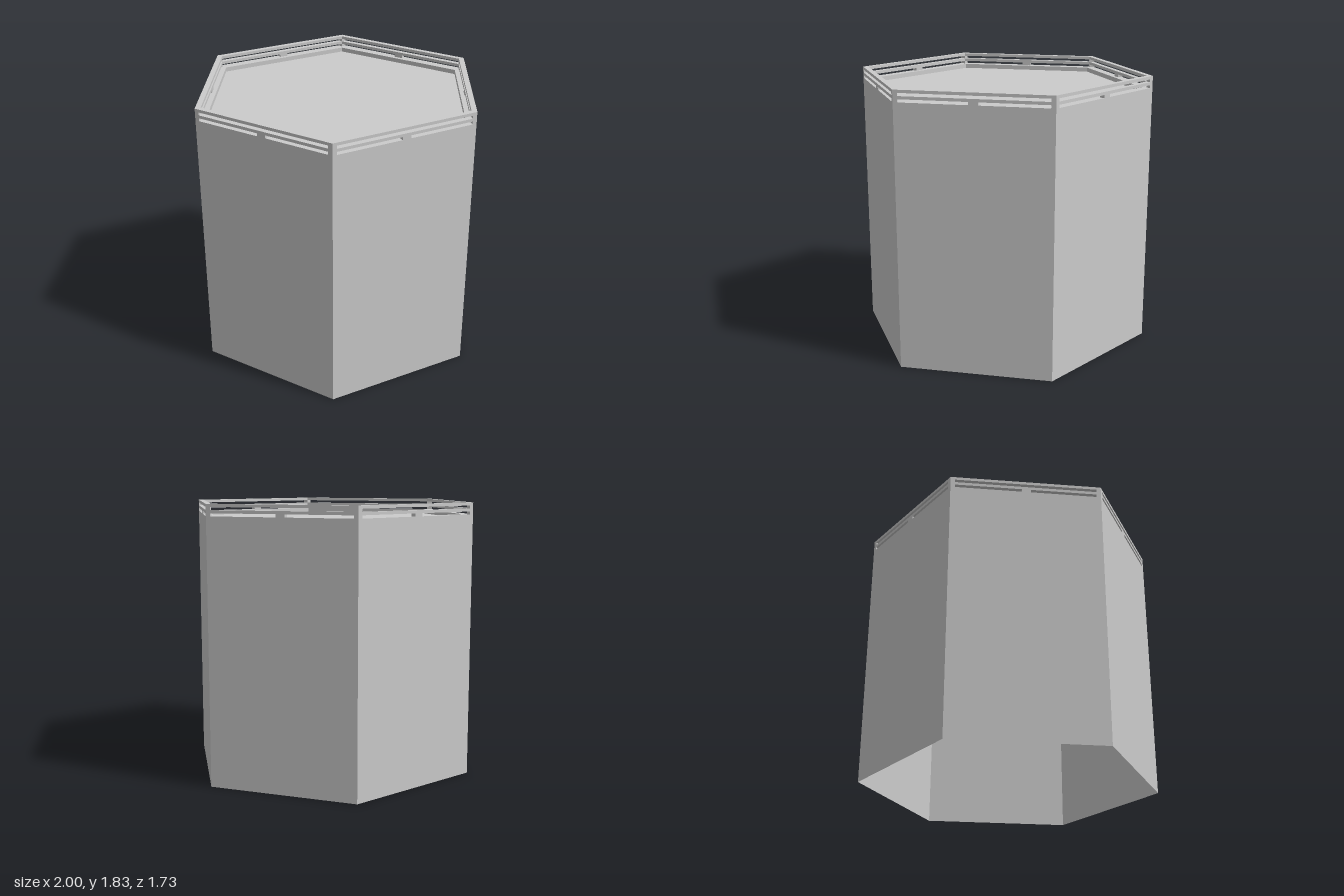
import * as THREE from 'three';

const SIDES = 6;
const WALL_TOP = 1.75;   // top of the hexagonal body
const STEP = 0.0193;     // thickness of each rail and each gap
const RAIL_IN = 0.96;    // inner corner radius of the rails
const DECK_R = 0.93;     // corner radius of the sunken deck
const RECESS = 0.03;

// Corner points of a hexagon with corners on the x axis
const corner = (i, r) => new THREE.Vector2(
  r * Math.cos(i * Math.PI / 3), r * Math.sin(i * Math.PI / 3));
const hexagon = (r) => Array.from({ length: SIDES }, (_, i) => corner(i, r));

function ringShape(outer, inner) {
  const shape = new THREE.Shape(hexagon(outer));
  shape.holes.push(new THREE.Path(hexagon(inner).reverse()));
  return shape;
}

export function createModel() {
  const model = new THREE.Group();
  const solid = new THREE.MeshStandardMaterial({ color: 0xcccccc, flatShading: true });
  const sheet = solid.clone();
  sheet.side = THREE.DoubleSide;

  const add = (parent, name, geometry, material) => {
    const mesh = new THREE.Mesh(geometry, material);
    mesh.name = name;
    parent.add(mesh);
    return mesh;
  };
  // Upright prism standing on y
  const prism = (parent, name, shape, y, height) => {
    const geo = new THREE.ExtrudeGeometry(shape, { depth: height, bevelEnabled: false });
    geo.rotateX(-Math.PI / 2).translate(0, y, 0);
    return add(parent, name, geo, solid);
  };
  // Open hexagonal tube, one sheet thick
  const tube = (name, r, y, height) => {
    const geo = new THREE.CylinderGeometry(r, r, height, SIDES, 1, true, Math.PI / 2);
    add(model, name, geo.translate(0, y + height / 2, 0), sheet);
  };
  const plate = (name, shape, y) => {
    const geo = new THREE.ShapeGeometry(shape);
    add(model, name, geo.rotateX(-Math.PI / 2).translate(0, y, 0), sheet);
  };

  // Body: thin walls, open underneath
  tube('bodyWalls', 1, 0, WALL_TOP);
  plate('ledge', ringShape(1, DECK_R), WALL_TOP);
  tube('recessWalls', DECK_R, WALL_TOP - RECESS, RECESS);
  plate('deck', new THREE.Shape(hexagon(DECK_R)), WALL_TOP - RECESS);

  // Two hexagonal rails above the ledge
  const railing = new THREE.Group();
  railing.name = 'railing';
  model.add(railing);
  prism(railing, 'lowerRail', ringShape(1, RAIL_IN), WALL_TOP + STEP, STEP);
  prism(railing, 'upperRail', ringShape(1, RAIL_IN), WALL_TOP + 3 * STEP, STEP);

  // Posts at the corners in both gaps, and at mid-side in the lower gap
  const apothem = Math.cos(Math.PI / 6);
  const depth = (1 - RAIL_IN) * apothem;
  for (let i = 0; i < SIDES; i++) {
    const c = corner(i, 1);
    const kite = new THREE.Shape([
      c,
      c.clone().lerp(corner(i + 1, 1), 0.03),
      corner(i, RAIL_IN),
      c.clone().lerp(corner(i - 1, 1), 0.03),
    ]);
    for (const level of [0, 2]) {
      prism(railing, 'cornerPost', kite, WALL_TOP + level * STEP, STEP);
    }
    const post = add(railing, 'midPost', new THREE.BoxGeometry(0.06, STEP, depth), solid);
    const angle = i * Math.PI / 3;
    const r = apothem - depth / 2;
    post.position.set(r * Math.sin(angle), WALL_TOP + STEP / 2, r * Math.cos(angle));
    post.rotation.y = angle;
  }
  return model;
}
